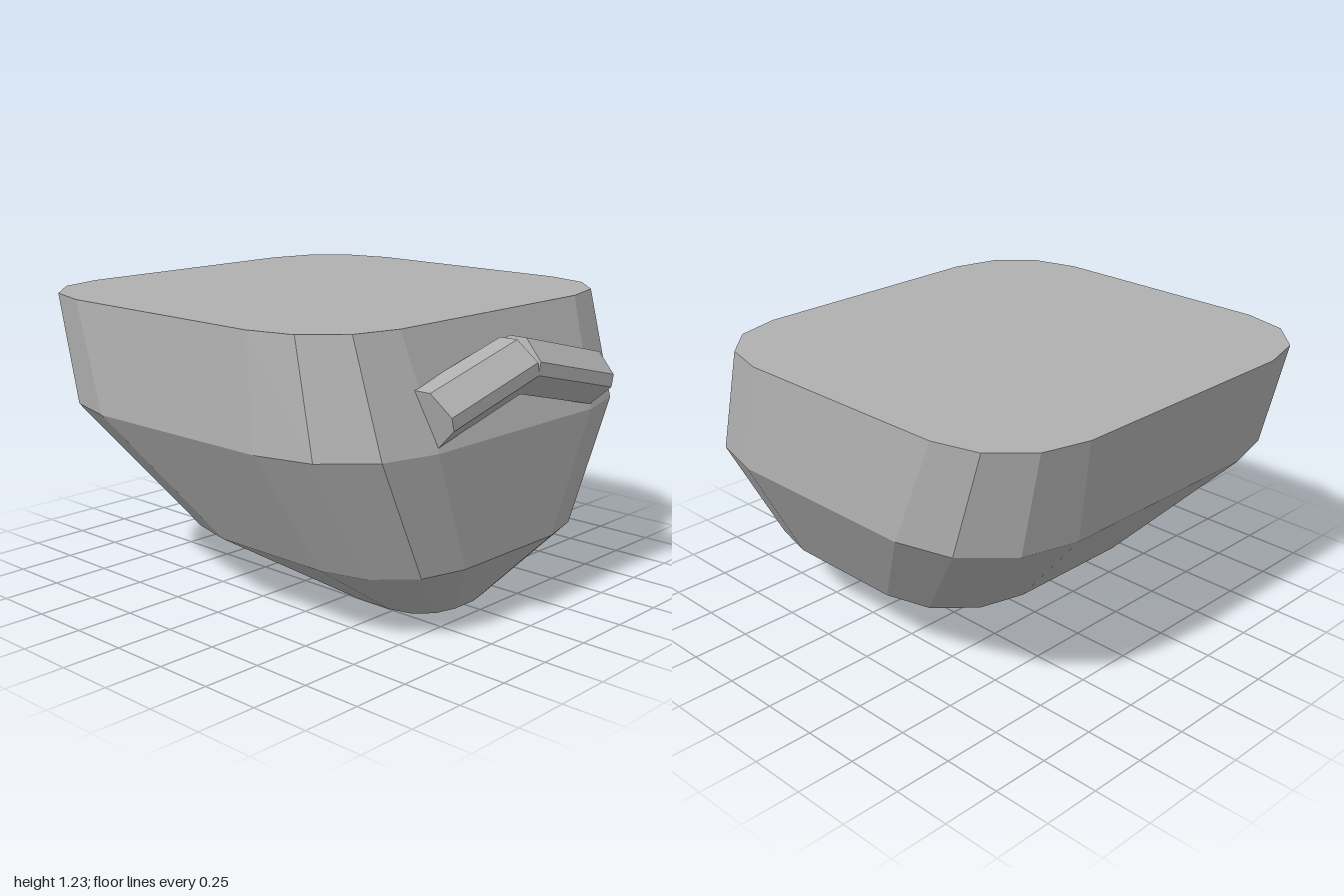
import * as THREE from 'three';

// Rounded-rectangle rings from bottom to top: height, half width, back z, front z, corner radius
const RINGS = [
  { y: 0, w: 0.25, back: 0.12, front: 0.67, r: 0.19 },
  { y: 0.28, w: 0.67, back: -0.44, front: 0.89, r: 0.39 },
  { y: 0.78, w: 0.955, back: -0.91, front: 0.92, r: 0.47 },
  { y: 1.225, w: 0.93, back: -1, front: 0.78, r: 0.39 },
];
const STEPS = 3; // facets per corner

function ringPoints({ y, w, back, front, r }) {
  const corners = [[w - r, front - r], [r - w, front - r], [r - w, back + r], [w - r, back + r]];
  return corners.flatMap(([cx, cz], k) =>
    Array.from({ length: STEPS + 1 }, (_, i) => {
      const a = (k + i / STEPS) * Math.PI / 2;
      return [cx + r * Math.cos(a), y, cz + r * Math.sin(a)];
    }));
}

// Faceted shell lofted through the rings and closed at both ends
function loft(rings) {
  const n = rings[0].length;
  const index = [];
  for (let k = 0; k < rings.length - 1; k++) {
    for (let i = 0; i < n; i++) {
      const a = k * n + i, b = k * n + (i + 1) % n;
      index.push(a, a + n, b + n, a, b + n, b);
    }
  }
  const top = (rings.length - 1) * n;
  for (let i = 1; i < n - 1; i++) {
    index.push(0, i, i + 1, top, top + i + 1, top + i);
  }
  const indexed = new THREE.BufferGeometry();
  indexed.setAttribute('position', new THREE.Float32BufferAttribute(rings.flat(2), 3));
  indexed.setIndex(index);
  const geometry = indexed.toNonIndexed();
  geometry.computeVertexNormals();
  return geometry;
}

// Eight-sided bar lying along x
function barGeometry(length) {
  const profile = [
    [0.125, 0.026], [0.04, 0.108], [-0.04, 0.108], [-0.125, 0.026],
    [-0.125, -0.026], [-0.04, -0.108], [0.04, -0.108], [0.125, -0.026],
  ].map(([x, y]) => new THREE.Vector2(x, y));
  const geometry = new THREE.ExtrudeGeometry(new THREE.Shape(profile), { depth: length, bevelEnabled: false });
  geometry.translate(0, 0, -length / 2);
  geometry.rotateY(Math.PI / 2);
  return geometry;
}

export function createModel() {
  const model = new THREE.Group();
  model.name = 'model';
  const grey = new THREE.MeshStandardMaterial({ color: 0xb0b0b0, flatShading: true });
  grey.name = 'grey';

  // Tapering body
  const body = new THREE.Mesh(loft(RINGS.map(ringPoints)), grey);
  body.name = 'body';
  model.add(body);

  // Two bars on the front, meeting in a peak at the middle
  const bar = barGeometry(0.52);
  for (const side of [1, -1]) {
    const ridge = new THREE.Mesh(bar, grey);
    ridge.name = side > 0 ? 'leftRidge' : 'rightRidge';
    ridge.position.set(side * 0.255, 0.968, 0.875);
    ridge.rotation.z = -side * 0.243;
    model.add(ridge);
  }
  return model;
}
